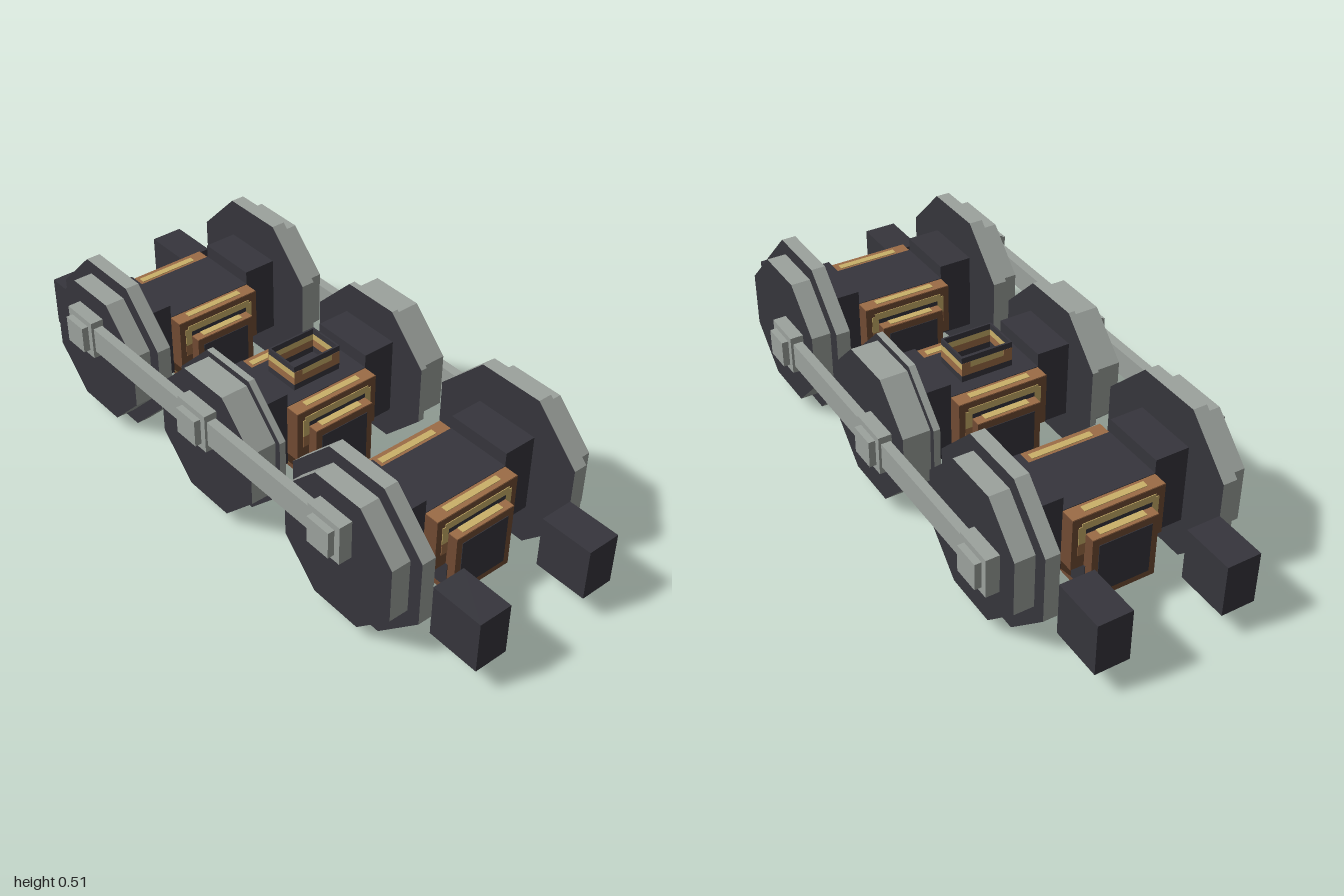
import * as THREE from 'three';

const mat = (name, color, extra = {}) => {
  const m = new THREE.MeshStandardMaterial({ color, flatShading: true, ...extra });
  m.name = name;
  return m;
};

export function createModel() {
  const iron = mat('dark iron', 0x36353c);
  const steel = mat('grey steel', 0x9ca29d);
  const brown = mat('brown copper', 0x714b33);
  const copper = mat('light copper', 0x9c6c46);
  const gold = mat('gold', 0xcab069);

  const model = new THREE.Group();
  model.name = 'runningGear';

  // Box given by its min and max corners
  function box(parent, name, material, [x0, y0, z0], [x1, y1, z1]) {
    const mesh = new THREE.Mesh(new THREE.BoxGeometry(x1 - x0, y1 - y0, z1 - z0), material);
    mesh.position.set((x0 + x1) / 2, (y0 + y1) / 2, (z0 + z1) / 2);
    mesh.name = name;
    parent.add(mesh);
    return mesh;
  }

  // Octagonal disc along x, flat side down, steel rim and iron faces
  function disc(parent, name, apothem, x0, x1) {
    const r = apothem / Math.cos(Math.PI / 8);
    const g = new THREE.CylinderGeometry(r, r, Math.abs(x1 - x0), 8, 1, false, Math.PI / 8);
    g.rotateZ(Math.PI / 2);
    const mesh = new THREE.Mesh(g, [steel, iron, iron]);
    mesh.position.set((x0 + x1) / 2, 0.256, 0);
    mesh.name = name;
    parent.add(mesh);
  }

  // Extruded front-view outline, centred along z
  function prism(parent, name, material, points, depth) {
    const shape = new THREE.Shape(points.map(([x, y]) => new THREE.Vector2(x, y)));
    const g = new THREE.ExtrudeGeometry(shape, { depth, bevelEnabled: false });
    g.translate(0, 0, -depth / 2);
    const mesh = new THREE.Mesh(g, material);
    mesh.name = name;
    parent.add(mesh);
  }

  // Gear casing: wide upper box, narrow lower box, trims and braces
  function gearCasing(parent) {
    const casing = new THREE.Group();
    casing.name = 'gearCasing';
    parent.add(casing);
    const e = 0.002;
    box(casing, 'upperCasing', brown, [-0.148, 0.17, -0.152], [0.148, 0.338, 0.152]);
    box(casing, 'lowerCasing', brown, [-0.106, 0.067, -0.187], [0.106, 0.278, 0.187]);
    box(casing, 'casingTopRim', copper, [-0.147, 0.338, -0.151], [0.147, 0.34, 0.151]);
    box(casing, 'casingTopPlate', iron, [-0.148, 0.339, -0.105], [0.148, 0.342, 0.105]);
    box(casing, 'casingBottomPlate', iron, [-0.104, 0.065, -0.185], [0.104, 0.067, 0.185]);

    for (const s of [1, -1]) {
      const end = new THREE.Group();
      end.name = s > 0 ? 'casingFront' : 'casingBack';
      if (s < 0) end.rotation.y = Math.PI;
      casing.add(end);
      // Stepped gold arch on the upper casing
      box(end, 'goldArch', gold, [-0.118, 0.295, 0.152], [0.118, 0.318, 0.152 + e]);
      box(end, 'ironBand', iron, [-0.106, 0.278, 0.152], [0.106, 0.295, 0.152 + e]);
      for (const x of [-1, 1]) {
        const a = Math.min(x * 0.106, x * 0.128), b = Math.max(x * 0.106, x * 0.128);
        box(end, 'goldArchSide', gold, [a, 0.25, 0.152], [b, 0.308, 0.152 + e]);
        box(end, 'copperArchSide', copper, [a, 0.212, 0.152], [b, 0.25, 0.152 + e]);
      }
      box(end, 'ironPanel', iron, [-0.085, 0.088, 0.187], [0.085, 0.255, 0.187 + e]);
      // Ledges seen from above
      box(end, 'upperLedgeGold', gold, [-0.1, 0.339, 0.115], [0.1, 0.342, 0.136]);
      box(end, 'lowerLedge', copper, [-0.105, 0.278, 0.154], [0.105, 0.28, 0.186]);
      box(end, 'lowerLedgeGold', gold, [-0.075, 0.279, 0.154], [0.075, 0.282, 0.176]);
    }

    for (const s of [1, -1]) {
      // Side panel and slanted brace
      const sx = s * 0.106, px = s * 0.108;
      box(casing, 'sidePanel', iron, [Math.min(sx, px), 0.088, -0.16], [Math.max(sx, px), 0.17, 0.16]);
      const brace = [[0.148, 0.165], [0.125, 0.152], [0.106, 0.13], [0.106, 0.085], [0.148, 0.14]];
      prism(casing, 'slantedBrace', brown, brace.map(([x, y]) => [s * x, y]), 0.2);
      const strip = [[0.116, 0.098], [0.138, 0.127], [0.14, 0.125], [0.118, 0.096]];
      prism(casing, 'braceGold', gold, strip.map(([x, y]) => [s * x, y]), 0.15);
    }
  }

  // Three wheelsets
  for (const z of [0.575, 0, -0.575]) {
    const set = new THREE.Group();
    set.name = z === 0 ? 'middleWheelset' : z > 0 ? 'frontWheelset' : 'backWheelset';
    set.position.z = z;
    model.add(set);
    for (const s of [1, -1]) {
      const flangeX = z === 0 ? 0.276 : 0.3;
      disc(set, 'wheelFlange', z === 0 ? 0.232 : 0.256, s * 0.255, s * flangeX);
      disc(set, 'wheelTread', 0.213, s * flangeX, s * 0.362);
      const a = s * 0.147, b = s * 0.255;
      box(set, 'axleBox', iron, [Math.min(a, b), 0.13, -0.105], [Math.max(a, b), 0.385, 0.105]);
    }
    gearCasing(set);
  }

  // Open-topped collar on the middle casing, banded walls
  const collar = new THREE.Group();
  collar.name = 'collar';
  model.add(collar);
  const bands = [[0.34, 0.362, iron], [0.362, 0.386, copper], [0.386, 0.406, gold], [0.406, 0.425, iron]];
  const w = 0.085, d = 0.06, t = 0.006;
  for (const [y0, y1, m] of bands) {
    for (const s of [1, -1]) {
      const zs = [s * d, s * (d - t)].sort((p, q) => p - q);
      const xs = [s * w, s * (w - t)].sort((p, q) => p - q);
      box(collar, 'collarWall', m, [-w, y0, zs[0]], [w, y1, zs[1]]);
      box(collar, 'collarWall', m, [xs[0], y0, -d + t], [xs[1], y1, d - t]);
      if (m === gold) {
        // Copper corners beside the gold band
        for (const c of [1, -1]) {
          const cx = [c * w, c * 0.056].sort((p, q) => p - q);
          const cz = [s * d, s * (d + 0.001)].sort((p, q) => p - q);
          box(collar, 'collarCorner', copper, [cx[0], y0, cz[0]], [cx[1], y1, cz[1]]);
        }
      }
    }
  }

  // Coupling rods, a quarter turn apart on the two sides
  for (const [s, y, z0] of [[1, 0.257, -0.083], [-1, 0.342, -0.003]]) {
    const rod = new THREE.Group();
    rod.name = s > 0 ? 'leftCouplingRod' : 'rightCouplingRod';
    rod.position.set(0, y, z0);
    model.add(rod);
    const part = (name, xa, xb, h, za, zb) => {
      const xs = [s * xa, s * xb].sort((p, q) => p - q);
      box(rod, name, steel, [xs[0], -h, za], [xs[1], h, zb]);
    };
    part('rodBar', 0.366, 0.396, 0.041, -0.575, 0.575);
    for (const z of [-0.575, 0, 0.575]) {
      part('rodBoss', 0.362, 0.404, 0.063, z - 0.063, z + 0.063);
      part('crankPin', 0.404, 0.425, 0.043, z - 0.043, z + 0.043);
    }
  }

  // Frame end blocks
  for (const sx of [1, -1]) for (const sz of [1, -1]) {
    const xs = [sx * 0.147, sx * 0.255].sort((p, q) => p - q);
    const zs = [sz * 0.83, sz].sort((p, q) => p - q);
    box(model, 'endBlock', iron, [xs[0], 0.087, zs[0]], [xs[1], 0.256, zs[1]]);
  }

  return model;
}
